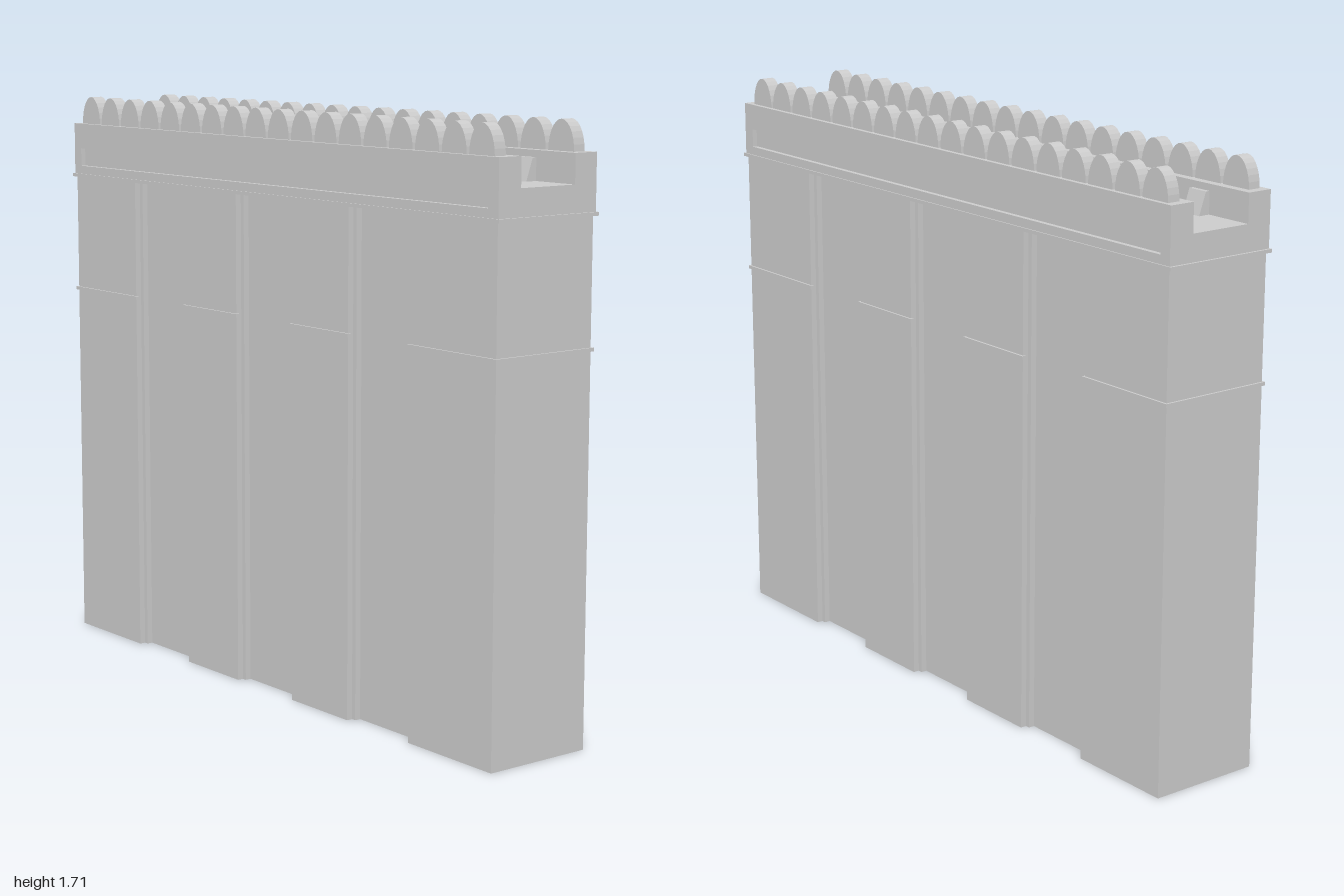
import * as THREE from 'three';

const mat = new THREE.MeshStandardMaterial({ color: 0xcccccc, flatShading: true, side: THREE.DoubleSide });

function add(parent, name, geometry, x = 0, y = 0, z = 0) {
  const mesh = new THREE.Mesh(geometry, mat);
  mesh.name = name;
  mesh.position.set(x, y, z);
  parent.add(mesh);
  return mesh;
}

const box = (w, h, d) => new THREE.BoxGeometry(w, h, d);
const shapeOf = pts => new THREE.Shape(pts.map(p => new THREE.Vector2(...p)));
const extrude = (shape, depth) =>
  new THREE.ExtrudeGeometry(shape, { depth, bevelEnabled: false, curveSegments: 7 });

// Extrudes a (z, y) profile along x, centred on x = 0
function alongX(pts, length) {
  return extrude(shapeOf(pts.map(([z, y]) => [-z, y])), length)
    .translate(0, 0, -length / 2).rotateY(Math.PI / 2);
}

// Open vertical shell standing on a closed plan of [x, z] points
function shell(plan, height) {
  const pos = [];
  plan.forEach(([ax, az], i) => {
    const [bx, bz] = plan[(i + 1) % plan.length];
    pos.push(ax, 0, az, bx, 0, bz, bx, height, bz, ax, 0, az, bx, height, bz, ax, height, az);
  });
  const g = new THREE.BufferGeometry();
  g.setAttribute('position', new THREE.Float32BufferAttribute(pos, 3));
  g.computeVertexNormals();
  return g;
}

export function createModel() {
  const root = new THREE.Group();
  root.name = 'battlementedWall';
  const W = 0.987, D = 0.168, H = 1.46;
  const recesses = [-0.529, -0.007, 0.514];
  const outer = 0.133, inner = 0.119;

  // Hollow lower wall with stepped recesses between the piers
  const front = [[-W, D]];
  for (const c of recesses) {
    front.push([c - outer, D], [c - outer, D - 0.018], [c - inner, D - 0.018], [c - inner, D - 0.036]);
    front.push([c + inner, D - 0.036], [c + inner, D - 0.018], [c + outer, D - 0.018], [c + outer, D]);
  }
  front.push([W, D]);
  const back = front.map(([x, z]) => [x, -z]).reverse();
  add(root, 'lowerWall', shell([...front, ...back], H));

  // Thin string course around the piers
  const course = new THREE.Group();
  course.name = 'stringCourse';
  root.add(course);
  const edges = [-W, ...recesses.flatMap(c => [c - outer, c + outer]), W];
  for (let i = 0; i < edges.length; i += 2) {
    const w = edges[i + 1] - edges[i] + 0.012;
    for (const s of [-1, 1])
      add(course, 'pierBand', box(w, 0.01, 0.012), (edges[i] + edges[i + 1]) / 2, 1.1, s * D);
  }
  for (const s of [-1, 1]) add(course, 'endBand', box(0.012, 0.01, 2 * D), s * W, 1.1, 0);

  // Ledge under the parapet
  add(root, 'parapetLedge', box(2, 0.01, 0.352), 0, H, 0);

  // Trough-shaped walkway with its two parapet walls
  const zc = 0.157, zi = 0.095, top = 1.622, floor = 1.54;
  add(root, 'walkway', alongX([[-zc, H], [zc, H], [zc, top], [zi, top], [zi, floor],
    [-zi, floor], [-zi, top], [-zc, top]], 1.986));

  // Outer facing with a long sunken panel, front and back
  const facing = shapeOf([[-0.993, H], [0.993, H], [0.993, top], [-0.993, top]]);
  facing.holes.push(new THREE.Path(
    [[-0.957, 1.49], [-0.957, 1.545], [0.953, 1.545], [0.953, 1.49]].map(p => new THREE.Vector2(...p))));
  const facingGeo = extrude(facing, 0.015);
  add(root, 'frontFacing', facingGeo, 0, 0, zc);
  add(root, 'backFacing', facingGeo, 0, 0, -zc - 0.015);

  // Rounded merlons along both parapets
  const arch = new THREE.Shape();
  arch.moveTo(0.049, 0);
  arch.absellipse(0, 0, 0.049, 0.084, 0, Math.PI, false);
  arch.closePath();
  const merlonGeo = extrude(arch, 0.038).translate(0, 0, -0.019);
  const merlons = new THREE.Group();
  merlons.name = 'merlons';
  root.add(merlons);
  for (let i = 0; i < 18; i++)
    for (const s of [-1, 1])
      add(merlons, 'merlon', merlonGeo, -0.917 + i * 0.1076, top, s * 0.139);

  // Sloped brackets inside the parapets
  const bracketGeo = alongX([[0.06, floor], [zi, floor], [zi, 1.603], [0.082, 1.603]], 0.064);
  const brackets = new THREE.Group();
  brackets.name = 'brackets';
  root.add(brackets);
  for (let i = -3; i <= 3; i++)
    for (const s of [0, 1])
      add(brackets, 'bracket', bracketGeo, i * 0.271, 0, 0).rotation.y = s * Math.PI;

  return root;
}
